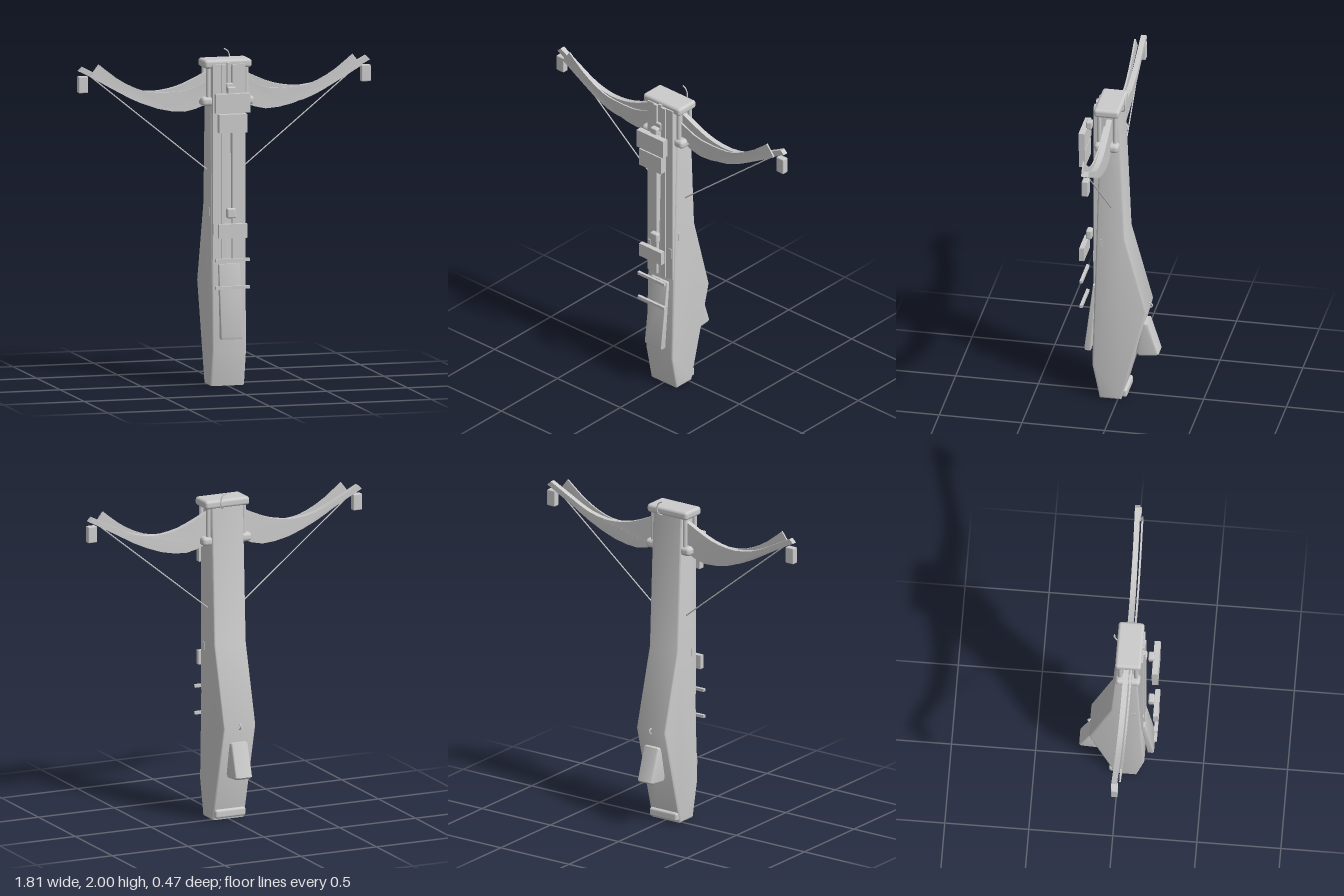
import * as THREE from 'three';
import { toCreasedNormals } from 'three/addons/utils/BufferGeometryUtils.js';
import { RoundedBoxGeometry } from 'three/addons/geometries/RoundedBoxGeometry.js';

export function createModel() {
  const model = new THREE.Group();
  model.name = 'crossbow';
  const material = new THREE.MeshStandardMaterial({ color: 0xcccccc });

  const add = (name, geometry) => {
    const mesh = new THREE.Mesh(geometry, material);
    mesh.name = name;
    model.add(mesh);
    return mesh;
  };
  // Box given by its limits on each axis, optionally with rounded edges
  const box = (name, x0, x1, y0, y1, z0, z1, r = 0) => {
    const size = [x1 - x0, y1 - y0, z1 - z0];
    const geometry = r ? new RoundedBoxGeometry(...size, 3, r) : new THREE.BoxGeometry(...size);
    geometry.translate((x0 + x1) / 2, (y0 + y1) / 2, (z0 + z1) / 2);
    return add(name, geometry);
  };
  const toShape = pts => new THREE.Shape(pts.map(p => new THREE.Vector2(...p)));
  // Side profile of [z, y] points extruded across x, with bevelled edges
  const sideProfile = (name, pts, halfWidth, bevel) => {
    const geometry = new THREE.ExtrudeGeometry(toShape(pts.map(([z, y]) => [-z, y])), {
      depth: 2 * (halfWidth - bevel), bevelEnabled: true, bevelSize: bevel,
      bevelThickness: bevel, bevelOffset: -bevel, bevelSegments: 3,
    });
    geometry.translate(0, 0, -(halfWidth - bevel)).rotateY(Math.PI / 2);
    return add(name, toCreasedNormals(geometry, 0.6));
  };
  // Bow blade: stations [x, bottomX, ...] as two edges in the xy plane, thin in z
  const blade = (name, side, lower, upper, z0, z1, tipShift) => {
    const smooth = pts => new THREE.SplineCurve(pts.map(([x, y]) => new THREE.Vector2(x * side, y)))
      .getPoints(14).map(p => [p.x, p.y]);
    const outline = [...smooth(lower), ...smooth(upper).reverse()];
    const geometry = new THREE.ExtrudeGeometry(toShape(outline), { depth: z1 - z0, bevelEnabled: false });
    geometry.translate(0, 0, z0);
    const p = geometry.attributes.position;
    for (let i = 0; i < p.count; i++) {
      const t = Math.abs(p.getX(i)) / 0.9;
      p.setZ(i, p.getZ(i) + tipShift * t * t);
    }
    geometry.computeVertexNormals();
    return add(name, toCreasedNormals(geometry, 0.6));
  };
  const tube = (name, pts, radius, segments) => add(name, new THREE.TubeGeometry(
    new THREE.CatmullRomCurve3(pts.map(p => new THREE.Vector3(...p))), segments, radius, 8));

  // Stock, trigger grip, heel pad
  sideProfile('stock', [
    [0.11, 0], [0.155, 0.22], [0.14, 0.74], [0.105, 1.93], [-0.008, 1.93],
    [-0.045, 1.08], [-0.175, 0.6], [-0.02, 0],
  ], 0.106, 0.012);
  sideProfile('trigger', [
    [-0.1, 0.3], [-0.14, 0.5], [-0.173, 0.5], [-0.237, 0.3], [-0.225, 0.288], [-0.118, 0.278],
  ], 0.055, 0.012);
  box('heelPad', -0.1, 0.1, 0.015, 0.068, -0.055, 0.01, 0.014);

  // Small sling loop at the widest point of the back
  const loop = add('slingLoop', new THREE.TorusGeometry(0.016, 0.005, 8, 20));
  loop.rotation.y = Math.PI / 2;
  loop.position.set(0, 0.6, -0.172);

  // Front lever plate
  sideProfile('lever', [[0.172, 0.29], [0.205, 0.29], [0.21, 0.305], [0.157, 0.735], [0.135, 0.735]], 0.066, 0.004);

  // Bolt track and the fittings along it
  box('boltGuide', -0.012, 0.012, 1.76, 1.94, 0.1, 0.15);
  box('guideBead', -0.022, 0.022, 1.77, 1.82, 0.12, 0.165, 0.008);
  box('frontSight', -0.106, 0.106, 1.65, 1.765, 0.2, 0.237);
  box('sightBase', -0.087, 0.087, 1.532, 1.642, 0.2, 0.237);
  box('sightStud', -0.025, 0.025, 1.755, 1.803, 0.172, 0.208, 0.008);
  box('rearSight', -0.087, 0.087, 0.9, 0.985, 0.206, 0.236);
  box('rearStud', -0.028, 0.028, 1.015, 1.075, 0.172, 0.208, 0.01);
  for (const y of [0.603, 0.768]) box('crossbar', -0.106, 0.106, y - 0.009, y + 0.009, 0.212, 0.23);

  // Head block closing the top of the stock
  box('headBlock', -0.146, 0.146, 1.905, 1.957, -0.016, 0.138, 0.018);

  for (const s of [1, -1]) {
    const sideBox = (name, x0, x1, ...rest) =>
      box(name, Math.min(s * x0, s * x1), Math.max(s * x0, s * x1), ...rest);
    // Track rails, latch and side pin
    sideBox('outerRail', 0.047, 0.1, 0.765, 1.93, 0.09, 0.147);
    sideBox('innerRail', 0.018, 0.047, 0.765, 1.93, 0.09, 0.156);
    sideBox('latch', 0.075, 0.095, 0.91, 0.975, 0.13, 0.152);
    sideBox('sidePin', 0.1, 0.109, 1.02, 1.07, 0.085, 0.105);

    // Limb clamps: lower knob and the posts up to the head block
    sideBox('clampKnob', 0.09, 0.162, 1.68, 1.735, -0.014, 0.134, 0.022);
    for (const z of [0.012, 0.108]) {
      const post = add('clampPost', new THREE.CylinderGeometry(0.014, 0.014, 0.22, 16));
      post.position.set(s * 0.117, 1.815, z);
    }

    // Main limb, tapering to its tip
    blade('limb', s,
      [[0.08, 1.7], [0.13, 1.68], [0.25, 1.645], [0.42, 1.67], [0.6, 1.745], [0.72, 1.815], [0.87, 1.895], [0.9, 1.91]],
      [[0.08, 1.89], [0.13, 1.87], [0.25, 1.815], [0.35, 1.785], [0.47, 1.775], [0.6, 1.8], [0.72, 1.855], [0.875, 1.935]],
      0.034, 0.066, -0.014);
    // Thin front blade
    blade('frontBlade', s,
      [[0.08, 1.76], [0.13, 1.73], [0.25, 1.685], [0.42, 1.68], [0.55, 1.72], [0.7, 1.8], [0.84, 1.88]],
      [[0.08, 1.84], [0.13, 1.82], [0.25, 1.775], [0.42, 1.77], [0.53, 1.79], [0.66, 1.855], [0.785, 1.952]],
      0.074, 0.084, -0.01);
    sideBox('tipBlock', 0.845, 0.903, 1.78, 1.88, 0.02, 0.06, 0.006);

    // Half of the drawn string, meeting the other inside the stock
    tube('bowstring', [[s * 0.87, 1.912, 0.038], [0, 1.205, 0.04]], 0.004, 1);
  }

  // Carrying hook behind the head block
  tube('hook', [[0.02, 2, -0.034], [0.044, 1.985, -0.034], [0.056, 1.95, -0.034],
    [0.05, 1.92, -0.03], [0.035, 1.905, -0.01]], 0.004, 20);

  return model;
}
